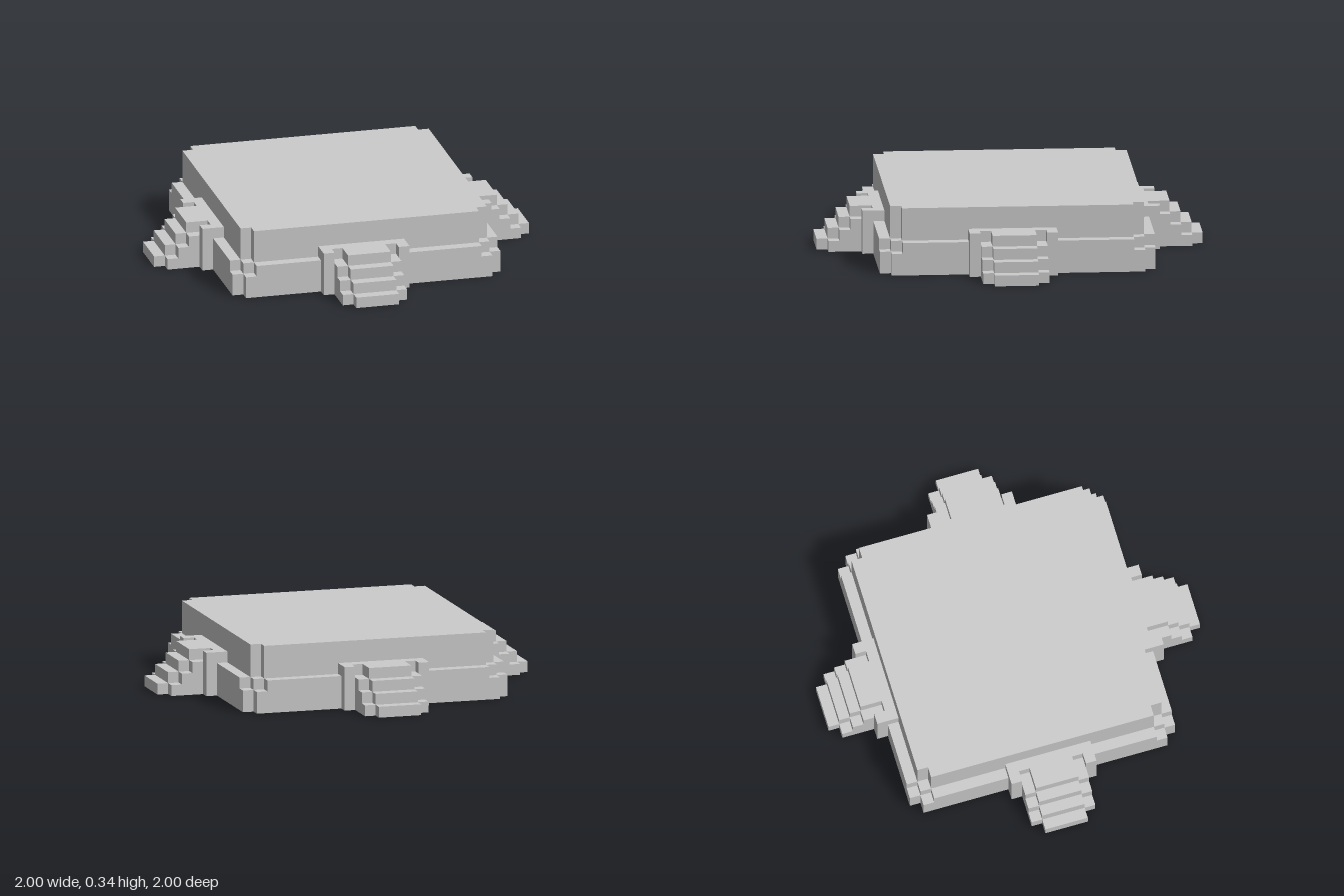
import * as THREE from 'three';

const U = 2 / 35; // one block

export function createModel() {
  const model = new THREE.Group();
  const material = new THREE.MeshStandardMaterial({ color: 0xcccccc, flatShading: true });

  function add(parent, name, geometry) {
    const mesh = new THREE.Mesh(geometry, material);
    mesh.name = name;
    parent.add(mesh);
    return mesh;
  }

  // Box standing on the ground or on y0, sizes in blocks
  function block(parent, name, x0, x1, y0, y1, z0, z1) {
    const mesh = add(parent, name, new THREE.BoxGeometry((x1 - x0) * U, (y1 - y0) * U, (z1 - z0) * U));
    mesh.position.set((x0 + x1) / 2 * U, (y0 + y1) / 2 * U, (z0 + z1) / 2 * U);
  }

  // Square slab with notched corners: a = outer half width, b = half width of each side
  function slab(name, a, b, y0, y1, hole) {
    const quarter = [[a, -b], [a, b], [b, b]];
    if (a - b > 1) quarter.splice(2, 1, [a - 1, b], [a - 1, a - 1], [b, a - 1]);
    const points = [];
    for (let i = 0; i < 4; i++) {
      const turn = i * Math.PI / 2;
      for (const [x, y] of quarter) {
        points.push(new THREE.Vector2(x * U, y * U).rotateAround(new THREE.Vector2(), turn));
      }
    }
    const shape = new THREE.Shape(points);
    if (hole) {
      const [x, z] = hole;
      shape.holes.push(new THREE.Path([[x, -z], [x, -z - 1], [x + 1, -z - 1], [x + 1, -z]]
        .map(([px, py]) => new THREE.Vector2(px * U, py * U))));
    }
    const geometry = new THREE.ExtrudeGeometry(shape, { depth: (y1 - y0) * U, bevelEnabled: false });
    geometry.rotateX(-Math.PI / 2).translate(0, y0 * U, 0);
    add(model, name, geometry);
  }

  // Platform in layers; the bottom one has a small socket
  slab('bottomLayer', 12.5, 11.5, 0, 1, [-2.5, -3.5]);
  slab('plinth', 12.5, 11.5, 1, 2);
  slab('plinthLedge', 12.5, 10.5, 2, 3);
  slab('platform', 11.5, 10.5, 3, 6);

  // Stairs on each side, half a block off centre
  const sides = [
    ['front', 0, -0.5, 0],
    ['left', Math.PI / 2, 0, 0.5],
    ['back', Math.PI, -0.5, 0],
    ['right', -Math.PI / 2, 0, 0.5],
  ];
  for (const [side, angle, x, z] of sides) {
    const stairs = new THREE.Group();
    stairs.name = side + 'Stairs';
    stairs.rotation.y = angle;
    stairs.position.set(x * U, 0, z * U);
    model.add(stairs);

    // Landing against the platform, with a post at each end
    block(stairs, 'landing', -4, 4, 0, 4, 11.5, 12.5);
    for (const s of [-1, 1]) {
      block(stairs, 'post', s * 3.5 - 0.5, s * 3.5 + 0.5, 0, 4, 12.5, 13.5);
    }
    // Narrow treads
    block(stairs, 'topStep', -2, 2, 0, 4, 12.5, 14.5);
    for (let i = 0; i < 3; i++) block(stairs, 'step', -2, 2, 0, 3 - i, 14.5 + i, 15.5 + i);
    // Side cheeks, one block lower than the treads
    for (const s of [-1, 1]) {
      const c0 = s * 2.5 - 0.5, c1 = s * 2.5 + 0.5;
      block(stairs, 'cheek', c0, c1, 0, 3, 12.5, 14.5);
      for (let i = 0; i < 2; i++) block(stairs, 'cheek', c0, c1, 0, 2 - i, 14.5 + i, 15.5 + i);
    }
  }
  return model;
}
